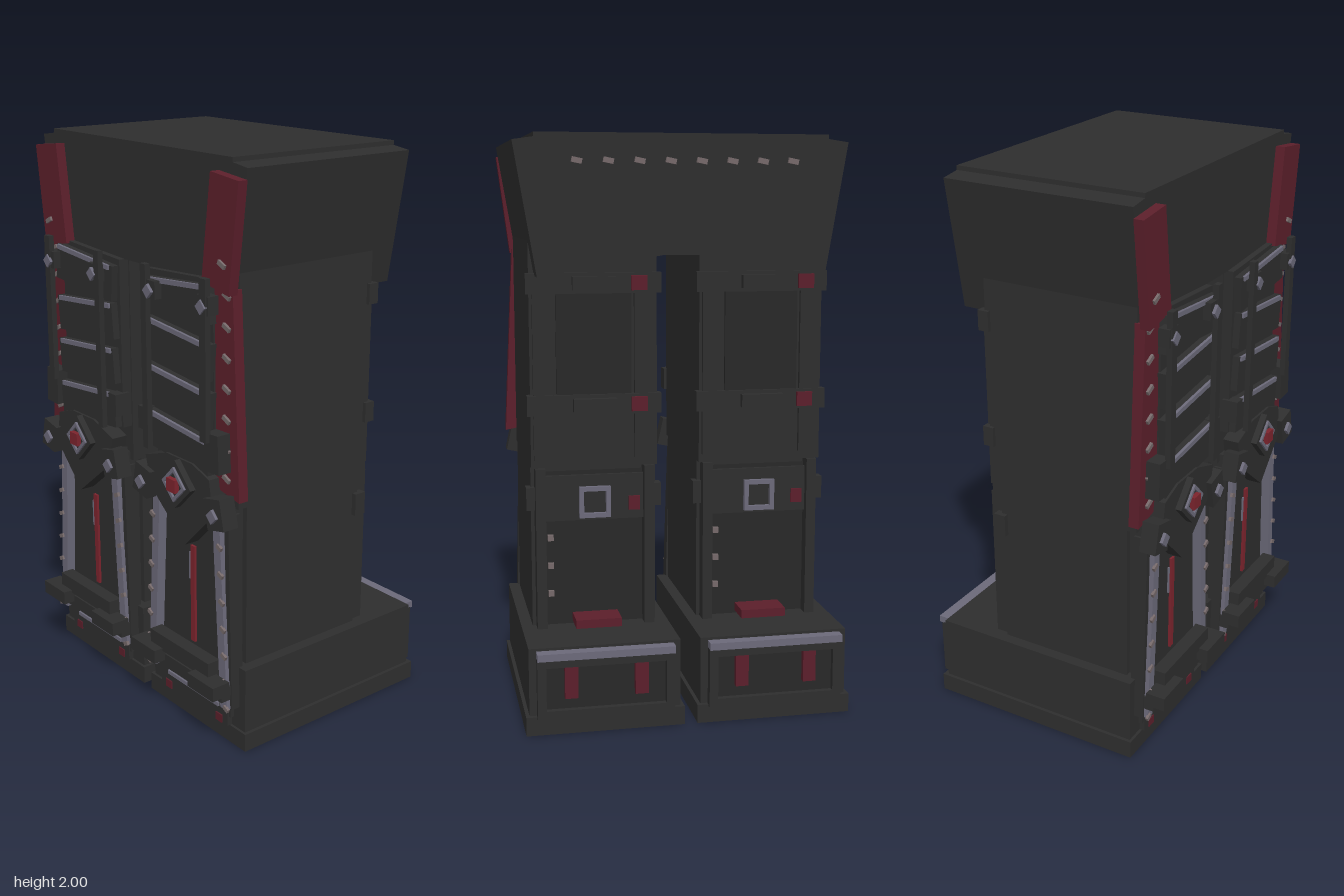
import * as THREE from 'three';

const mat = (name, color) => Object.assign(new THREE.MeshStandardMaterial({ color }), { name });

export function createModel() {
  const root = new THREE.Group();
  root.name = 'legArmour';
  const dark = mat('charcoal', 0x2e2e2e);
  const black = mat('dark panel', 0x282828);
  const steel = mat('steel grey', 0x6c6a7a);
  const red = mat('deep red', 0x5c1f2b);
  const bright = mat('bright red', 0x7c242d);
  const bronze = mat('dull bronze', 0x75696a);

  // Box given by its centre and size, turned about z
  const box = (g, name, m, x, y, z, w, h, d, rz = 0) => {
    const b = new THREE.Mesh(new THREE.BoxGeometry(w, h, d), m);
    b.name = name;
    b.position.set(x, y, z);
    b.rotation.z = rz;
    g.add(b);
    return b;
  };
  // Flat polygon extruded from z0 to z1
  const plate = (g, name, m, pts, z0, z1) => {
    const shape = new THREE.Shape(pts.map(p => new THREE.Vector2(...p)));
    const geo = new THREE.ExtrudeGeometry(shape, { depth: z1 - z0, bevelEnabled: false });
    const b = new THREE.Mesh(geo, m);
    b.name = name;
    b.position.z = z0;
    g.add(b);
  };
  // Square frame with an open middle, made of four bars
  const frame = (g, name, m, x, y, z, w, h, t, d, rz = 0) => {
    const f = new THREE.Group();
    f.name = name;
    f.position.set(x, y, z);
    f.rotation.z = rz;
    for (const k of [-1, 1]) {
      box(f, name + 'Bar', m, 0, k * (h - t) / 2, 0, w, t, d);
      box(f, name + 'Post', m, k * (w - t) / 2, 0, 0, t, h - 2 * t, d);
    }
    g.add(f);
  };

  // Hip block, flaring outward at the top
  const half = [[0.5, 1.985], [0.57, 1.975], [0.495, 1.53], [0.07, 1.6]];
  plate(root, 'hip', dark, [...half, ...half.map(([x, y]) => [-x, y]).reverse()], -0.31, 0.37);
  box(root, 'hipCap', dark, 0, 1.99, 0.03, 1.0, 0.02, 0.68);
  for (let i = 0; i < 8; i++)
    box(root, 'hipRivet', bronze, -0.375 + i * 0.105, 1.91, -0.315, 0.035, 0.018, 0.014, 0.2);

  for (const s of [-1, 1]) {
    const g = new THREE.Group();
    g.name = s > 0 ? 'leftLeg' : 'rightLeg';
    root.add(g);
    const B = (name, m, x, y, z, w, h, d, rz = 0) => box(g, name, m, s * x, y, z, w, h, d, s * rz);
    const P = (name, m, pts, z0, z1) => {
      const q = pts.map(([x, y]) => [s * x, y]);
      plate(g, name, m, s > 0 ? q : q.reverse(), z0, z1);
    };
    const C = 0.295;

    // Leg core
    B('thigh', dark, C, 1.27, 0.07, 0.44, 0.8, 0.57);
    B('calf', dark, C, 0.58, 0.07, 0.44, 0.6, 0.5);
    B('shinPlate', dark, C, 0.5, 0.345, 0.4, 0.8, 0.05);

    // Boot, reaching backward
    B('sole', dark, C, 0.0325, -0.04, 0.545, 0.065, 0.81);
    B('boot', dark, C, 0.18, -0.037, 0.52, 0.24, 0.785);
    B('bootToe', dark, C, 0.11, 0.365, 0.38, 0.09, 0.02);
    B('toeLine', steel, C, 0.13, 0.378, 0.29, 0.014, 0.008);
    B('heelPanel', black, C, 0.165, -0.435, 0.44, 0.2, 0.02);
    frame(g, 'heelFrame', dark, s * C, 0.165, -0.45, 0.47, 0.21, 0.03, 0.03);
    B('heelTrim', steel, C, 0.28, -0.455, 0.47, 0.025, 0.04);
    for (const k of [-1, 1]) {
      B('heelStripe', red, C + k * 0.12, 0.185, -0.455, 0.045, 0.11, 0.02);
      B('toeMark', red, C + k * 0.145, 0.08, 0.374, 0.035, 0.03, 0.01);
    }

    // Red outer strips with rivets
    P('upperRedStrip', red, [[0.39, 1.61], [0.525, 1.585], [0.57, 1.94], [0.435, 1.955]], 0.37, 0.405);
    P('lowerRedStrip', red, [[0.43, 0.935], [0.555, 0.912], [0.52, 1.6], [0.4, 1.6]], 0.348, 0.385);
    for (let i = 0; i < 8; i++)
      B('stripRivet', bronze, 0.495, 1.68 - i * 0.1, i ? 0.388 : 0.407, 0.035, 0.015, 0.012, -0.45);

    // Layered thigh plates with light upper edges
    P('thighPlateBase', dark, [[0.08, 1.0], [0.44, 0.98], [0.43, 1.62], [0.08, 1.6]], 0.355, 0.392);
    for (let i = 0; i < 4; i++) {
      const y = 1.53 - i * 0.16, tilt = i ? -0.09 : 0.08;
      B('thighPlate', dark, 0.265, y, 0.402, 0.345, 0.125, 0.03, tilt);
      B('thighPlateEdge', steel, 0.265, y + 0.055, 0.419, 0.32, 0.016, 0.01, tilt);
    }
    B('innerStrap', dark, 0.137, 1.315, 0.44, 0.028, 0.63, 0.02);
    B('outerStrap', dark, 0.45, 1.37, 0.44, 0.032, 0.53, 0.02);
    for (const x of [0.165, 0.445]) {
      B('strapMount', dark, x, 1.55, 0.425, 0.06, 0.06, 0.04);
      B('strapBolt', steel, x, 1.545, 0.45, 0.034, 0.034, 0.012, Math.PI / 4);
    }
    B('outerBuckle', dark, 0.475, 1.07, 0.41, 0.07, 0.13, 0.05, 0.05);
    B('innerBuckle', dark, 0.09, 1.09, 0.4, 0.045, 0.08, 0.06);

    // Knee guard
    P('kneeGuard', dark, [[0.32, 0.7], [0.47, 0.85], [0.45, 0.97], [0.36, 1.0], [0.22, 1.0], [0.1, 0.96], [0.13, 0.85]], 0.365, 0.425);
    B('kneeBadge', dark, 0.295, 0.915, 0.433, 0.12, 0.12, 0.03, Math.PI / 4);
    frame(g, 'kneeBadgeRim', steel, s * 0.295, 0.915, 0.45, 0.088, 0.088, 0.012, 0.012, Math.PI / 4);
    B('kneeGem', bright, 0.295, 0.915, 0.456, 0.046, 0.046, 0.02);
    for (const [x, t] of [[0.497, 0.22], [0.098, -0.22]]) {
      B('kneePad', dark, x, 0.87, 0.415, 0.085, 0.105, 0.06, t);
      B('kneeBolt', steel, x, 0.865, 0.45, 0.036, 0.036, 0.012, Math.PI / 4);
    }

    // Shin rails, rivets and centre stripe
    for (const k of [-1, 1]) {
      B('shinRail', steel, C + k * 0.183, 0.52, 0.388, 0.036, 0.74, 0.034, k * 0.06);
      B('shinRailSide', dark, C + k * 0.21, 0.5, 0.365, 0.02, 0.7, 0.05, k * 0.03);
      for (let i = 0; i < 7; i++)
        B('shinRivet', bronze, C + k * (0.185 + i * 0.006), 0.74 - i * 0.097, 0.407, 0.025, 0.015, 0.01, -0.45);
    }
    B('shinStripe', bright, 0.298, 0.495, 0.374, 0.022, 0.36, 0.01);
    box(g, 'shinScore', steel, s * 0.298 - 0.021, 0.595, 0.372, 0.006, 0.1, 0.008);

    // Ankle straps
    B('ankleStrap', dark, C, 0.215, 0.405, 0.45, 0.05, 0.05);
    B('anklePlate', dark, C, 0.285, 0.415, 0.33, 0.06, 0.05);
    for (const k of [-1, 1])
      B('ankleBuckle', dark, C + k * 0.165, 0.24, 0.44, 0.14, 0.05, 0.07);

    // Back of the thigh: two straps around a panel
    B('rearThighPanel', black, C, 1.29, -0.219, 0.26, 0.4, 0.012);
    for (const k of [-1, 1])
      B('rearThighBar', dark, C + k * 0.175, 1.22, -0.219, 0.07, 0.64, 0.02);
    for (const y of [1.505, 1.09]) {
      B('rearStrap', dark, C, y, -0.215, 0.465, 0.07, 0.04);
      B('rearClasp', dark, C, y, -0.243, 0.15, 0.045, 0.03);
      box(g, 'rearStrapMark', red, s * C - 0.155, y, -0.238, 0.055, 0.05, 0.02);
    }

    // Back of the calf: framed panel with a square buckle
    B('rearCalfPanel', black, C, 0.58, -0.187, 0.34, 0.55, 0.016);
    B('rearCalfPlate', dark, C, 0.76, -0.197, 0.36, 0.16, 0.02);
    B('rearCalfBand', dark, C, 0.76, -0.18, 0.475, 0.08, 0.045);
    frame(g, 'rearBuckle', steel, s * C, 0.745, -0.217, 0.11, 0.11, 0.016, 0.016);
    box(g, 'rearCalfMark', red, s * C - 0.14, 0.735, -0.208, 0.04, 0.05, 0.01);
    for (const k of [-1, 1])
      B('rearCalfBar', dark, C + k * 0.19, 0.585, -0.205, 0.035, 0.57, 0.05);
    for (let i = 0; i < 3; i++)
      box(g, 'rearCalfRivet', bronze, s * C + 0.155, 0.62 - i * 0.1, -0.2, 0.02, 0.02, 0.02);
    B('heelTab', red, C, 0.33, -0.24, 0.16, 0.03, 0.11);
  }
  return root;
}
